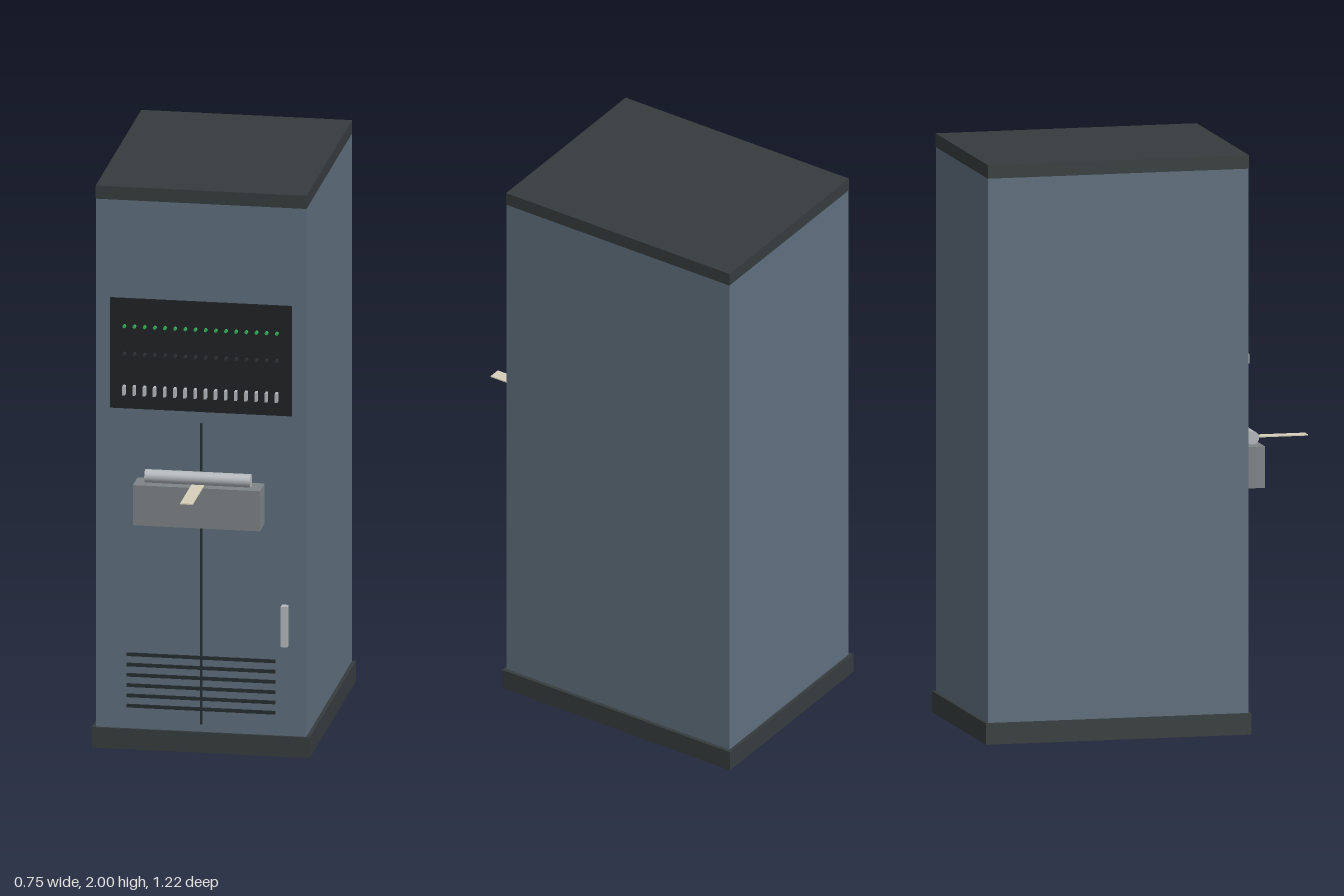
import * as THREE from 'three';

const mat = (color) => new THREE.MeshStandardMaterial({ color });

export function createModel() {
  const group = new THREE.Group();
  const steel = mat(0x5f6f7e), dark = mat(0x363c3e), black = mat(0x202224), slot = mat(0x262c31);
  const grey = mat(0x7e8486), metal = mat(0xb4b9bd), paper = mat(0xd6cfba);
  const green = mat(0x35b860), unlit = mat(0x303236);

  const add = (name, geometry, material, x, y, z) => {
    const mesh = new THREE.Mesh(geometry, material);
    mesh.name = name;
    mesh.position.set(x, y, z);
    group.add(mesh);
    return mesh;
  };
  // Box given by its low and high limits on each axis
  const box = (name, material, [x0, x1], [y0, y1], [z0, z1]) =>
    add(name, new THREE.BoxGeometry(x1 - x0, y1 - y0, z1 - z0), material,
      (x0 + x1) / 2, (y0 + y1) / 2, (z0 + z1) / 2);

  // Cabinet
  const front = 0.316;
  box('plinth', dark, [-0.377, 0.377], [0, 0.073], [-0.612, 0.324]);
  box('cabinet', steel, [-0.364, 0.364], [0.073, 1.953], [-0.601, front]);
  box('topCap', dark, [-0.365, 0.365], [1.953, 2], [-0.602, front + 0.001]);

  // Control panel with two rows of lamps and a row of switches
  box('controlPanel', black, [-0.315, 0.315], [1.213, 1.605], [front - 0.005, 0.322]);
  const lamp = new THREE.CylinderGeometry(0.006, 0.006, 0.012, 10).rotateX(Math.PI / 2);
  const toggle = new THREE.BoxGeometry(0.009, 0.032, 0.024);
  for (let i = 0; i < 16; i++) {
    const x = -0.264 + i * 0.0352;
    add('litLamp', lamp, green, x, 1.507, 0.327);
    add('unlitLamp', lamp, unlit, x, 1.409, 0.327);
    add('toggleSwitch', toggle, metal, x, 1.281, 0.332);
  }

  // Door seam, vents and handle
  box('doorSeam', slot, [-0.004, 0.004], [0.1, 1.172], [front - 0.005, 0.321]);
  for (let i = 0; i < 6; i++) {
    const y = 0.154 + i * 0.0366;
    box('ventSlot', slot, [-0.257, 0.257], [y - 0.006, y + 0.006], [front - 0.005, 0.321]);
  }
  box('doorHandle', metal, [0.28, 0.303], [0.396, 0.54], [front - 0.005, 0.343]);

  // Tape reader: housing, roller and paper strip
  box('readerHousing', grey, [-0.22, 0.22], [0.825, 0.968], [front - 0.005, 0.411]);
  add('roller', new THREE.CylinderGeometry(0.023, 0.023, 0.366, 24).rotateZ(Math.PI / 2),
    metal, 0, 0.993, 0.376);
  box('paperTape', paper, [-0.022, 0.022], [0.968, 0.972], [front - 0.005, 0.612]);

  return group;
}
